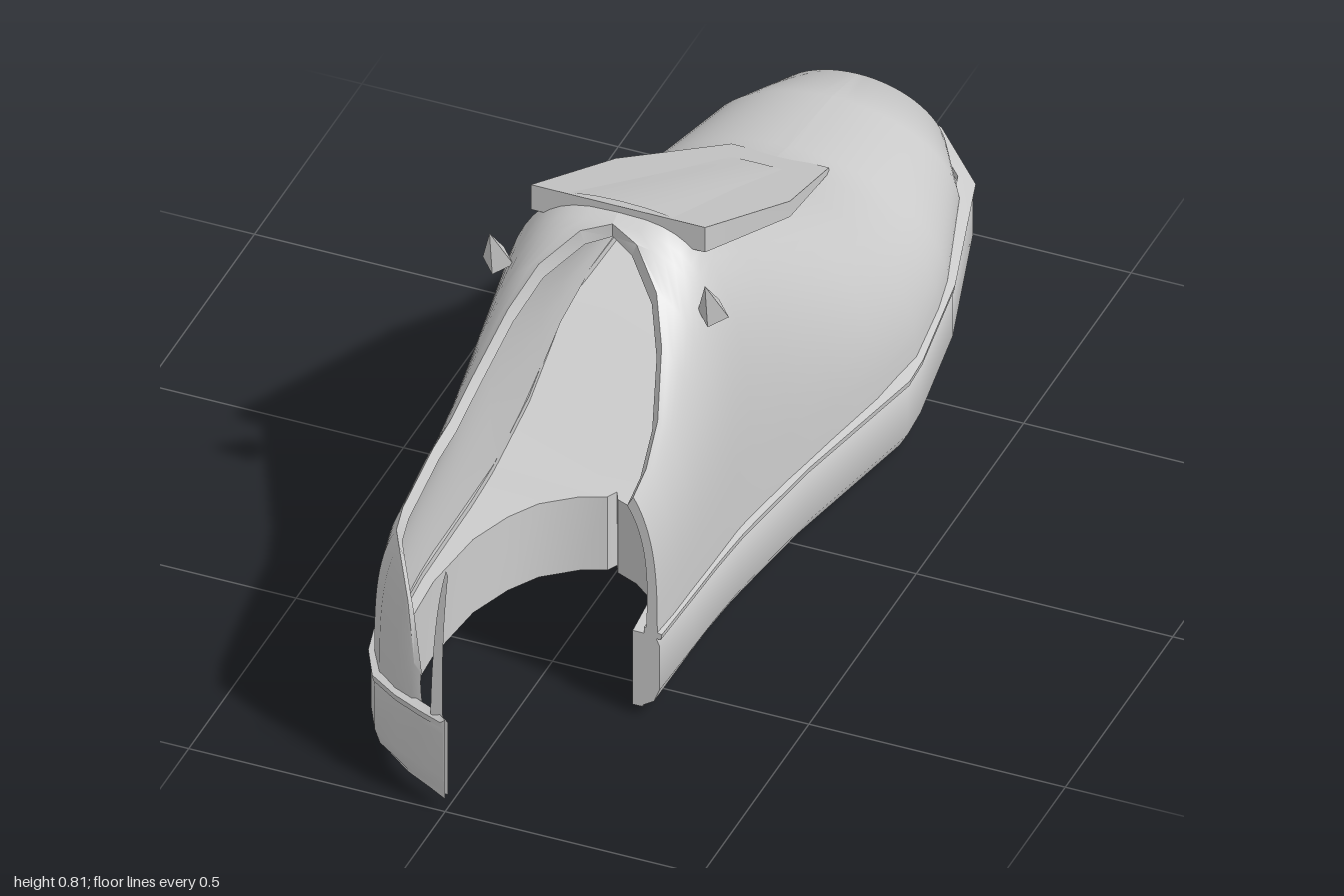
import * as THREE from 'three';
import { toCreasedNormals } from 'three/addons/utils/BufferGeometryUtils.js';

// Skins a run of cross-sections (closed rings) and caps the last one
function loft(rings, crease) {
  const n = rings[0].length;
  const pos = rings.flat(2), index = [];
  for (let i = 0; i < rings.length - 1; i++) {
    for (let j = 0; j < n; j++) {
      const k = (j + 1) % n;
      const a = i * n + j, b = i * n + k, c = a + n, d = b + n;
      index.push(a, b, c, b, d, c);
    }
  }
  const g = new THREE.BufferGeometry();
  g.setAttribute('position', new THREE.Float32BufferAttribute(pos, 3));
  g.setIndex(index);
  return toCreasedNormals(g, crease);
}

// Collapses the ring onto its own mirror half, closing the end
const fold = (ring) => ring.map((p, j) => (j < ring.length / 2 ? ring[ring.length - 1 - j] : p));

// Upper: z, half width, base y, collar edge x, collar edge y, roundness
const UPPER = [
  [-0.985, 0.02, 0.24, 0, 0.265, 2], [-0.955, 0.13, 0.235, 0, 0.31, 2],
  [-0.92, 0.175, 0.232, 0, 0.357, 2], [-0.8, 0.25, 0.216, 0, 0.386, 2],
  [-0.6, 0.31, 0.19, 0, 0.41, 2], [-0.53, 0.322, 0.183, 0, 0.427, 2],
  [-0.4, 0.333, 0.167, 0, 0.495, 2.05], [-0.25, 0.32, 0.17, 0, 0.573, 2.2],
  [-0.1, 0.295, 0.174, 0, 0.652, 2.5], [0.05, 0.272, 0.177, 0, 0.73, 2.8],
  [0.18, 0.256, 0.18, 0, 0.8, 3], [0.22, 0.252, 0.181, 0, 0.785, 3],
  [0.24, 0.251, 0.182, 0.055, 0.768, 3], [0.29, 0.25, 0.183, 0.115, 0.71, 3],
  [0.35, 0.249, 0.184, 0.15, 0.64, 3], [0.44, 0.247, 0.186, 0.18, 0.545, 3],
  [0.52, 0.246, 0.187, 0.191, 0.495, 3], [0.59, 0.242, 0.188, 0.195, 0.48, 3],
  [0.76, 0.226, 0.19, 0.183, 0.465, 3], [0.84, 0.205, 0.19, 0.162, 0.475, 3],
  [0.9, 0.17, 0.19, 0.132, 0.488, 3], [0.935, 0.125, 0.19, 0.1, 0.4, 3],
  [0.955, 0.085, 0.19, 0.079, 0.28, 3],
];

function upperRing([z, w, b, cx, cy, n], side) {
  const N = 16, end = Math.acos(Math.pow(cx / w, n / 2));
  const h = (cy - b) / Math.pow(Math.sin(end), 2 / n);
  const outer = [], inner = [];
  for (let i = 0; i <= N; i++) {
    const a = (end * i) / N;
    const x = w * Math.pow(Math.max(0, Math.cos(a)), 2 / n);
    const s = Math.pow(Math.sin(a), 2 / n);
    const y = b + h * s;
    outer.push([side * x, y, z]);
    inner.unshift([side * Math.max(0, x - 0.022 * (1 - 0.6 * s)), y - Math.min(0.028, h * 0.4) * s, z]);
  }
  return [...outer, ...inner];
}

// Sole: z, half width, bottom y, top y, edge of the heel opening
const SOLE = [
  [-1, 0.015, 0.1, 0.25, 0], [-0.965, 0.14, 0.095, 0.243, 0],
  [-0.85, 0.255, 0.075, 0.225, 0], [-0.6, 0.32, 0.033, 0.188, 0],
  [-0.4, 0.341, 0.002, 0.16, 0], [-0.33, 0.345, 0.001, 0.161, 0],
  [0, 0.285, 0.009, 0.17, 0], [0.2, 0.262, 0.013, 0.176, 0],
  [0.22, 0.26, 0.013, 0.176, 0.01], [0.24, 0.258, 0.014, 0.177, 0.055],
  [0.29, 0.255, 0.015, 0.178, 0.115], [0.35, 0.252, 0.016, 0.179, 0.15],
  [0.44, 0.25, 0.018, 0.181, 0.18], [0.59, 0.246, 0.02, 0.184, 0.194],
  [0.76, 0.232, 0.024, 0.186, 0.183], [0.84, 0.212, 0.026, 0.187, 0.163],
  [0.91, 0.175, 0.03, 0.188, 0.125], [0.95, 0.115, 0.03, 0.188, 0.078],
  [0.98, 0.055, 0.03, 0.19, 0.025], [1, 0.005, 0.03, 0.19, 0],
];

function soleRing([z, w, bot, top, hole], side) {
  const r = Math.min(0.03, (w - hole) * 0.4);
  return [
    [hole, top], [w - r * 0.4, top], [w, top - 0.02], [w, bot + 0.045],
    [w - r * 0.5, bot + 0.018], [w - r * 1.6, bot + 0.003], [(w + hole) / 2 - r * 0.3, bot], [hole, bot],
  ].map(([x, y]) => [side * x, y, z]);
}

// Thin lip running around the top of the sole
function weltRing([z, w, , top], side) {
  const inX = Math.max(0, w - 0.03);
  return [[inX, top - 0.006], [w + 0.003, top - 0.006], [w + 0.005, top + 0.006], [inX, top + 0.014]]
    .map(([x, y]) => [side * x, y, z]);
}

export function createModel() {
  const model = new THREE.Group();
  const grey = new THREE.MeshStandardMaterial({ color: 0xcccccc, side: THREE.DoubleSide });
  grey.name = 'light grey';

  const add = (name, geometry) => {
    const mesh = new THREE.Mesh(geometry, grey);
    mesh.name = name;
    model.add(mesh);
    return mesh;
  };

  // The left side stops at the cut in front of the heel; the right runs around it
  for (const side of [1, -1]) {
    const label = side > 0 ? 'left' : 'right';
    const build = (table, ring, crease) => {
      const rows = side > 0 ? table.filter((r) => r[0] < 0.6) : table;
      const rings = rows.map((r) => ring(r, side));
      rings.push(fold(rings[rings.length - 1]));
      return loft(rings, crease);
    };
    add(label + 'Upper', build(UPPER, upperRing, 0.8));
    add(label + 'Sole', build(SOLE, soleRing, 0.6));
    add(label + 'Welt', build(SOLE, weltRing, 0.5));
  }

  // Sloping instep panel with a raised strip down the middle
  const slopeY = (z) => 0.808 + (z - 0.195) * 0.52;
  const panelRing = (z, w, t) => [[-w, 0], [w, 0], [w, -t], [-w, -t]].map(([x, y]) => [x, slopeY(z) + y, z]);
  const capped = (rings) => loft([fold(rings[0]), ...rings, fold(rings[rings.length - 1])], 0.4);
  add('instepPanel', capped([panelRing(-0.56, 0.095, 0.012), panelRing(-0.2, 0.17, 0.035), panelRing(0.195, 0.17, 0.055)]));
  const stripRing = (z, w, rise) => [-1, -0.5, 0, 0.5, 1, 0].map((u, j) =>
    [u * w, slopeY(z) + (j === 5 ? -0.004 : rise * (1 - u * u)), z]);
  add('instepStrip', loft([stripRing(-0.45, 0.05, 0.001), stripRing(-0.2, 0.065, 0.005), stripRing(0.18, 0.1, 0.008)], 0.5));

  // Pointed studs beside the collar, with a second pair set into the lining
  const stud = new THREE.ConeGeometry(0.03, 0.096, 4).toNonIndexed();
  stud.computeVertexNormals();
  for (const side of [1, -1]) {
    for (const [x, y, z] of [[0.21, 0.71, 0.272], [0.185, 0.615, 0.09]]) {
      const mesh = add('stud', stud);
      mesh.position.set(side * x, y, z);
      mesh.rotation.x = 0.43;
    }
  }

  // Upright sliver of the heel seam
  const seam = new THREE.Shape();
  seam.moveTo(-0.014, 0.03);
  seam.lineTo(-0.014, 0.19);
  seam.lineTo(-0.034, 0.2);
  seam.quadraticCurveTo(-0.03, 0.42, -0.004, 0.525);
  seam.lineTo(0, 0.515);
  seam.quadraticCurveTo(-0.014, 0.35, -0.01, 0.2);
  seam.lineTo(0, 0.19);
  seam.lineTo(0, 0.03);
  add('heelSeam', new THREE.ShapeGeometry(seam)).position.z = 0.987;

  return model;
}
